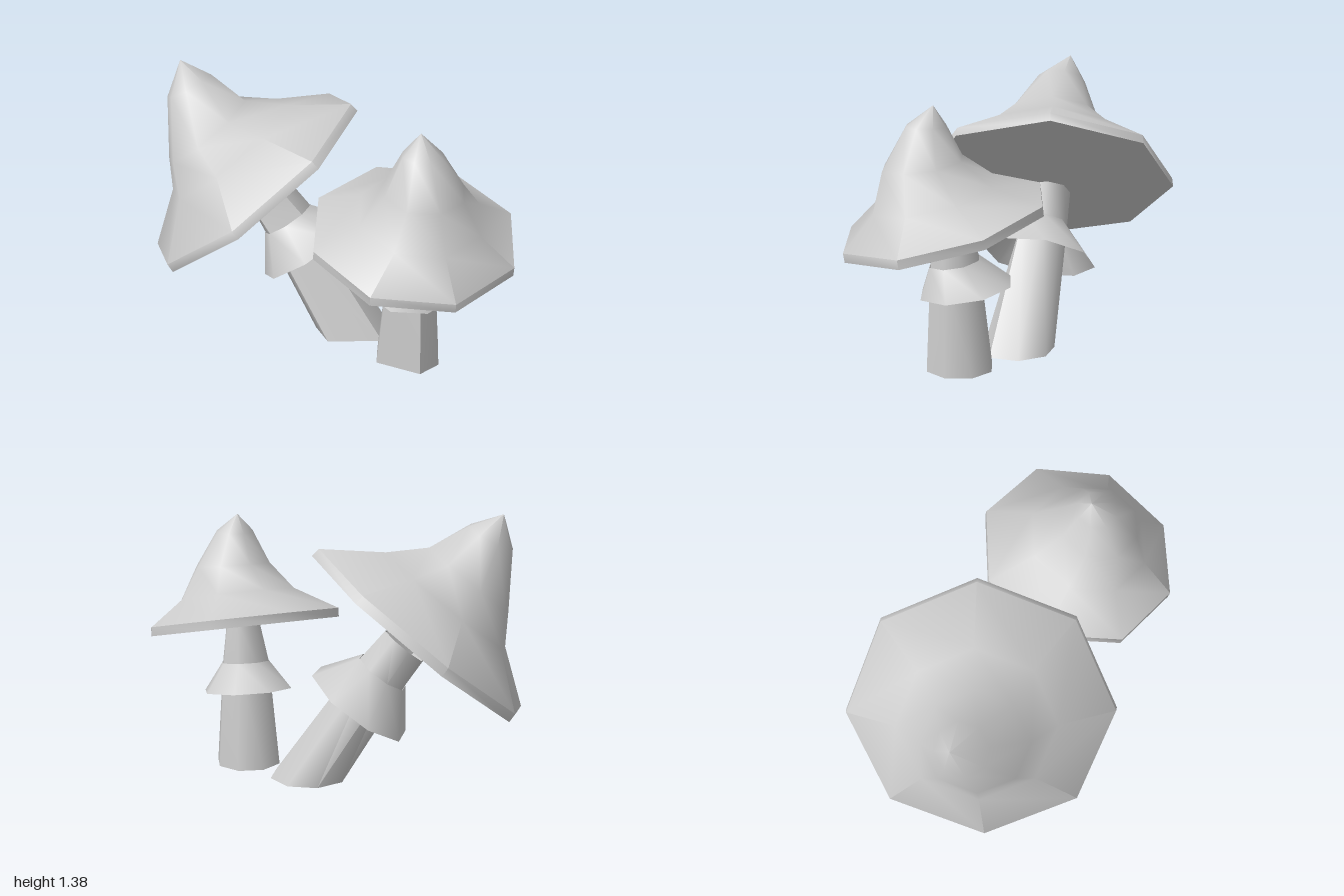
import * as THREE from 'three';
import { toCreasedNormals } from 'three/addons/utils/BufferGeometryUtils.js';

const SIDES = 8;
const material = new THREE.MeshStandardMaterial({ color: 0xcccccc, side: THREE.DoubleSide });

// Polygon ring around a centre, perpendicular to an axis; skip drops one corner
function ring([x, y, z], axis, radius, turn, skip = -1) {
  const n = new THREE.Vector3(...axis).normalize();
  const u = new THREE.Vector3(1, 0, 0).addScaledVector(n, -n.x).normalize();
  const v = u.clone().cross(n);
  const points = [];
  for (let i = 0; i < SIDES; i++) {
    if (i === skip) continue;
    const a = THREE.MathUtils.degToRad(turn) + (i / SIDES) * Math.PI * 2;
    points.push(new THREE.Vector3(x, y, z)
      .addScaledVector(u, radius * Math.cos(a))
      .addScaledVector(v, radius * Math.sin(a)));
  }
  return points;
}

// Skin over rings, listed from bottom to top
function loft(name, rings) {
  const positions = [];
  const triangle = (a, b, c) => {
    if (a.distanceTo(b) < 1e-5 || b.distanceTo(c) < 1e-5 || c.distanceTo(a) < 1e-5) return;
    for (const p of [a, b, c]) positions.push(p.x, p.y, p.z);
  };
  for (let k = 0; k < rings.length - 1; k++) {
    const low = rings[k], high = rings[k + 1];
    for (let i = 0; i < low.length; i++) {
      const j = (i + 1) % low.length;
      triangle(low[i], high[i], high[j]);
      triangle(low[i], high[j], low[j]);
    }
  }
  const geometry = new THREE.BufferGeometry();
  geometry.setAttribute('position', new THREE.Float32BufferAttribute(positions, 3));
  const mesh = new THREE.Mesh(toCreasedNormals(geometry, 0.9), material);
  mesh.name = name;
  return mesh;
}

// Each part is a list of [centre, axis, radius]
function mushroom(name, { turn, skip, stem, skirt, cap }) {
  const group = new THREE.Group();
  group.name = name;
  group.add(
    loft('stem', stem.map(([c, n, r]) => ring(c, n, r, turn, skip))),
    loft('skirt', skirt.map(([c, n, r]) => ring(c, n, r, turn))),
    loft('cap', cap.map(([c, n, r]) => ring(c, n, r, turn))),
  );
  return group;
}

export function createModel() {
  const model = new THREE.Group();
  model.name = 'mushrooms';
  const up = [0, 1, 0];

  // Upright mushroom
  const lean = [0.18, 1, 0.18], skirtLean = [0.1, 1, 0.12];
  model.add(mushroom('smallMushroom', {
    turn: -5,
    skip: 2,
    stem: [
      [[0.45, 0, 0.015], up, 0.17],
      [[0.465, 0.54, 0.03], skirtLean, 0.125],
      [[0.48, 0.74, 0.035], lean, 0.09],
    ],
    skirt: [
      [[0.435, 0.405, -0.015], skirtLean, 0.235],
      [[0.465, 0.54, 0.03], skirtLean, 0.128],
    ],
    cap: [
      [[0.49, 0.715, 0.065], lean, 0],
      [[0.49, 0.715, 0.065], lean, 0.515],
      [[0.495, 0.76, 0.07], lean, 0.515],
      [[0.54, 0.878, 0.1], lean, 0.31],
      [[0.575, 1.03, 0.135], [0.1, 1, 0.1], 0.2],
      [[0.555, 1.205, 0.125], up, 0.1],
      [[0.53, 1.3, 0.1], up, 0],
    ],
  }));

  // Leaning mushroom with the wide cap
  const tilt = [-0.575, 0.778, 0.254], skirtTilt = [-0.55, 0.8, 0.12];
  model.add(mushroom('largeMushroom', {
    turn: 12.4,
    skip: 1,
    stem: [
      [[0.07, 0, -0.09], up, 0.2],
      [[-0.305, 0.57, -0.04], skirtTilt, 0.14],
      [[-0.41, 0.71, -0.02], tilt, 0.125],
    ],
    skirt: [
      [[-0.2, 0.41, -0.09], skirtTilt, 0.29],
      [[-0.305, 0.57, -0.04], skirtTilt, 0.143],
    ],
    cap: [
      [[-0.465, 0.755, 0], tilt, 0],
      [[-0.465, 0.755, 0], tilt, 0.665],
      [[-0.492, 0.792, 0.012], tilt, 0.66],
      [[-0.6, 0.94, 0.05], tilt, 0.39],
      [[-0.7, 1.04, 0.1], tilt, 0.26],
      [[-0.805, 1.255, 0.09], [-0.47, 0.87, 0.1], 0.128],
      [[-0.87, 1.375, 0.07], tilt, 0],
    ],
  }));

  return model;
}
